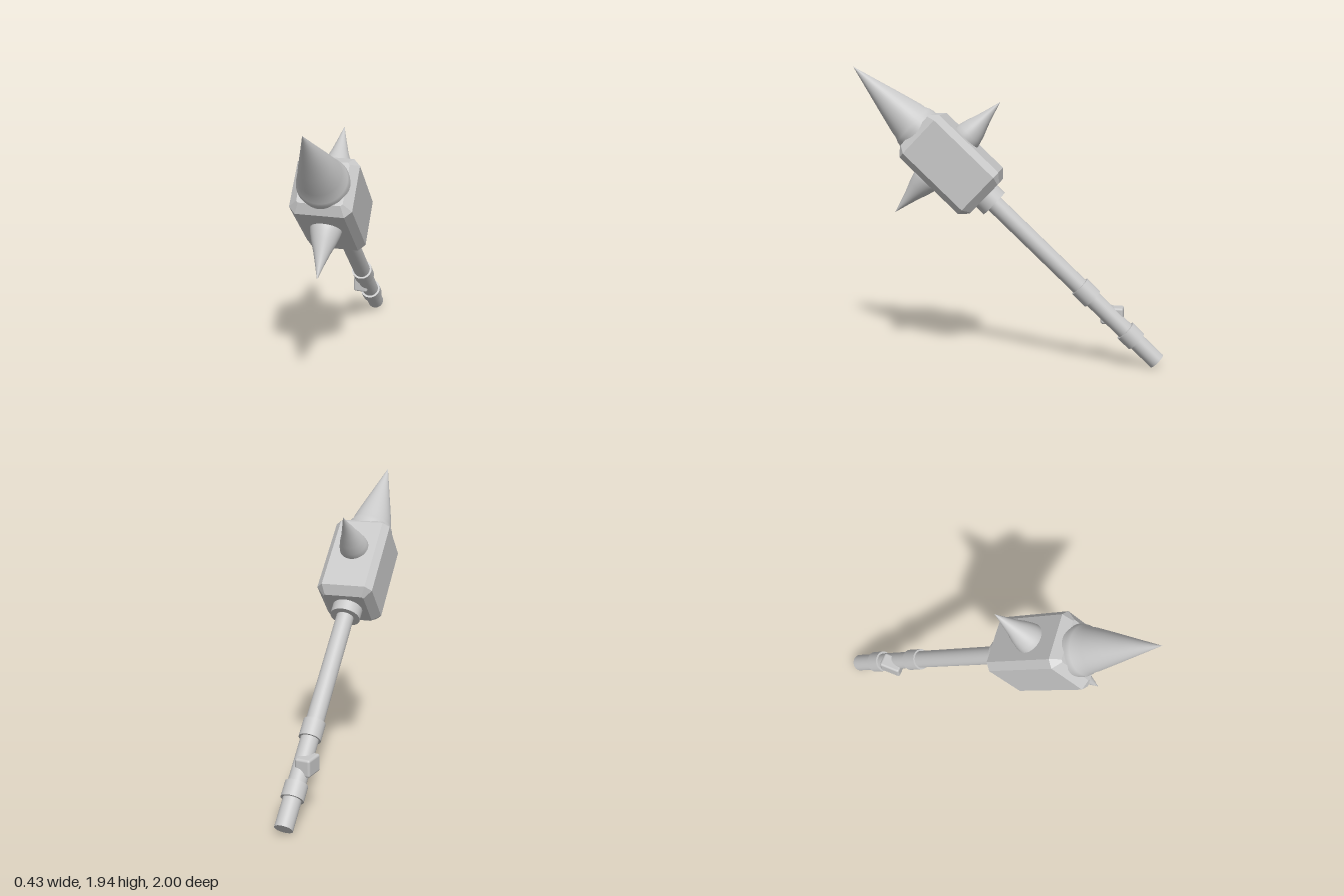
import * as THREE from 'three';
import { RoundedBoxGeometry } from 'three/addons/geometries/RoundedBoxGeometry.js';

export function createModel() {
  const model = new THREE.Group();
  const steel = new THREE.MeshStandardMaterial({ color: 0xc8c8c8 });
  steel.name = 'steel';

  // The weapon is built upright along +y, then leaned into place
  const mace = new THREE.Group();
  mace.name = 'mace';
  model.add(mace);

  const add = (name, geometry, parent = mace) => {
    const mesh = new THREE.Mesh(geometry, steel);
    mesh.name = name;
    parent.add(mesh);
    return mesh;
  };
  const rod = (name, radius, from, to) => {
    const mesh = add(name, new THREE.CylinderGeometry(radius, radius, to - from, 40));
    mesh.position.y = (from + to) / 2;
    return mesh;
  };
  const lathe = (points) =>
    new THREE.LatheGeometry(points.map(([r, y]) => new THREE.Vector2(r, y)), 40);

  // Shaft with its grip rings and the collar under the head
  rod('shaft', 0.057, 0, 1.56);
  rod('lowerRing', 0.071, 0.187, 0.287);
  rod('upperRing', 0.07, 0.586, 0.702);
  rod('collar', 0.098, 1.474, 1.57);

  // Square head with chamfered ends and slightly eased long edges
  const chamfer = 0.05, half = 0.186 - chamfer, ease = 0.012;
  const section = new THREE.Shape();
  section.moveTo(half - ease, -half);
  section.lineTo(half, -half + ease);
  section.lineTo(half, half - ease);
  section.lineTo(half - ease, half);
  section.lineTo(-half + ease, half);
  section.lineTo(-half, half - ease);
  section.lineTo(-half, -half + ease);
  section.lineTo(-half + ease, -half);
  section.closePath();
  const headGeometry = new THREE.ExtrudeGeometry(section, {
    depth: 0.515, bevelEnabled: true, bevelSegments: 1,
    bevelSize: chamfer, bevelThickness: chamfer,
  });
  headGeometry.rotateX(-Math.PI / 2);
  add('head', headGeometry).position.y = 1.595;

  // Large end spike with a swollen foot
  add('endSpike', lathe([
    [0.157, 2.12], [0.156, 2.17], [0.15, 2.195], [0.136, 2.225],
    [0.129, 2.265], [0.097, 2.385], [0.05, 2.555], [0, 2.737],
  ]));

  // Two side spikes, front and back
  for (const side of [1, -1]) {
    const spike = add(side > 0 ? 'frontSpike' : 'backSpike', lathe([
      [0.096, 0.15], [0.095, 0.19], [0.089, 0.22], [0.074, 0.27],
      [0.051, 0.33], [0.029, 0.4], [0, 0.498],
    ]));
    spike.position.y = 1.899;
    spike.rotation.x = side * Math.PI / 2;
  }

  // Lean the weapon forward with a slight roll
  const along = new THREE.Vector3(0.207, 1.897, 1.96).normalize();
  const across = new THREE.Vector3(0.07, -0.713, 0.698);
  across.addScaledVector(along, -across.dot(along)).normalize();
  const sideways = new THREE.Vector3().crossVectors(along, across);
  mace.quaternion.setFromRotationMatrix(new THREE.Matrix4().makeBasis(sideways, along, across));
  mace.position.set(-0.145, 0.048, -0.96);

  // Small block on the side of the grip
  const block = add('gripBlock', new RoundedBoxGeometry(0.1, 0.11, 0.145, 3, 0.015), model);
  block.position.set(-0.15, 0.342, -0.666);

  return model;
}
